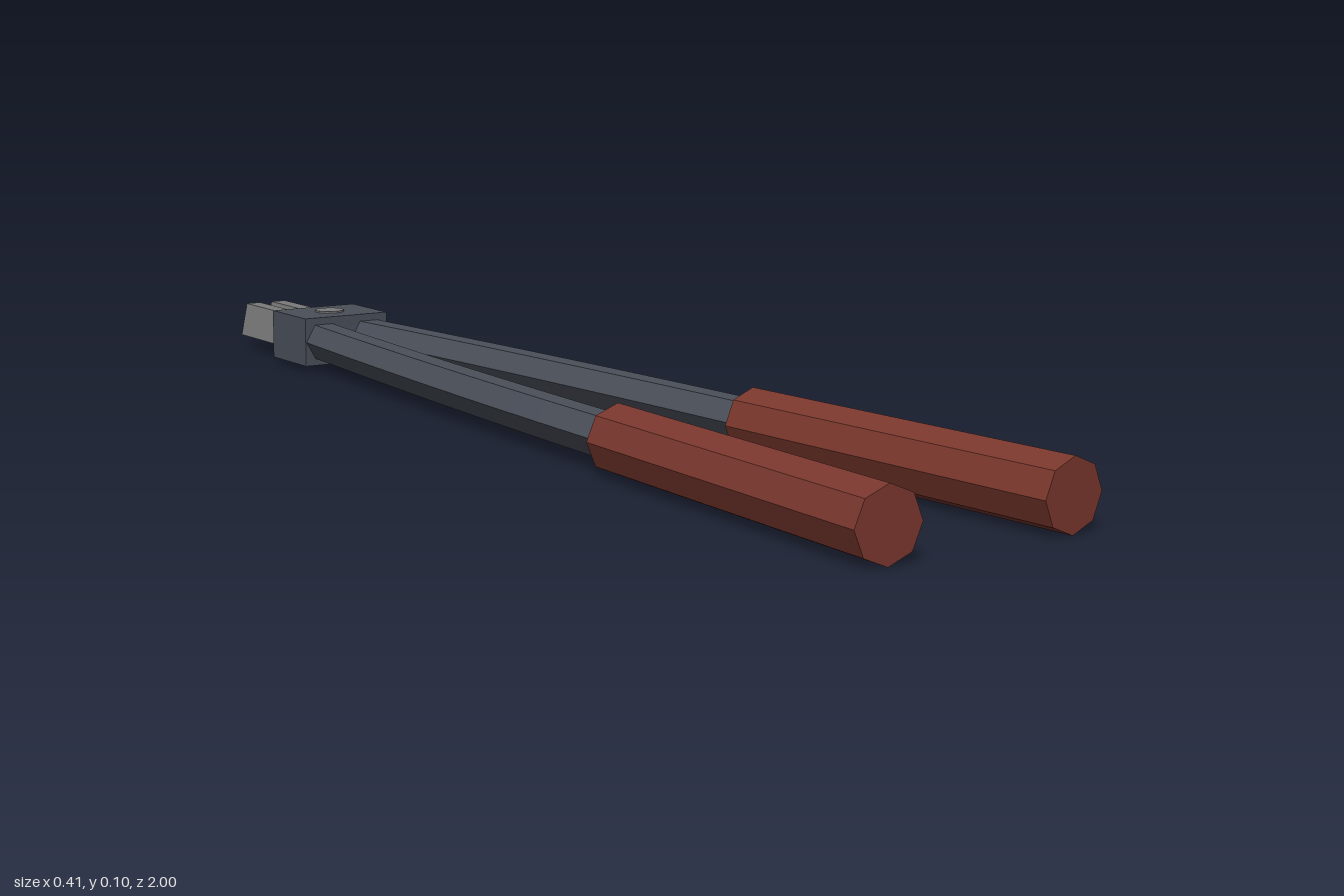
import * as THREE from 'three';

const MID_Y = 0.055;

function material(name, color) {
  const m = new THREE.MeshStandardMaterial({ color, flatShading: true });
  m.name = name;
  return m;
}

export function createModel() {
  const group = new THREE.Group();
  const steel = material('dark steel', 0x4a4f59);
  const bare = material('bare metal', 0x7a7a7a);
  const rubber = material('red grip', 0x7a372d);

  const add = (name, geometry, mat, x = 0, y = 0, z = 0) => {
    const mesh = new THREE.Mesh(geometry, mat);
    mesh.name = name;
    mesh.position.set(x, y, z);
    group.add(mesh);
    return mesh;
  };

  // hinge block and its pivot bolt
  add('hingeBlock', new THREE.BoxGeometry(0.165, 0.086, 0.13), steel, 0, MID_Y, -0.737);
  add('pivotBolt', new THREE.CylinderGeometry(0.027, 0.027, 0.092, 10), bare, 0, MID_Y, -0.737);

  for (const s of [1, -1]) {
    const side = s > 0 ? 'left' : 'right';

    // hexagonal arm, gently bowed outward along its length
    const armStart = -0.7, armEnd = 0.5;
    const arm = new THREE.CylinderGeometry(0.035, 0.035, armEnd - armStart, 6, 12, false, Math.PI / 2);
    arm.rotateX(Math.PI / 2).translate(0, MID_Y, (armStart + armEnd) / 2);
    const p = arm.attributes.position;
    for (let i = 0; i < p.count; i++) {
      const z = p.getZ(i);
      p.setX(i, p.getX(i) + s * (0.1 + 0.0638 * z - 0.0252 * z * z));
    }
    arm.computeVertexNormals();
    add(side + 'Arm', arm, steel);

    // octagonal grip, splayed outward toward the front
    const grip = new THREE.CylinderGeometry(0.052, 0.052, 0.625, 8);
    grip.rotateX(Math.PI / 2);
    add(side + 'Grip', grip, rubber, s * 0.1365, MID_Y, 0.684).rotation.y = s * 0.053;

    // jaw with a trapezoid section, narrower on top
    const outline = [[0, 0.026], [0.052, 0.026], [0.04, 0.085], [0.012, 0.085]];
    const shape = new THREE.Shape(outline.map(([x, y]) => new THREE.Vector2(s * x, y)));
    const jaw = new THREE.ExtrudeGeometry(shape, { depth: 0.22, bevelEnabled: false });
    add(side + 'Jaw', jaw, bare, 0, 0, -1);
  }
  return group;
}
